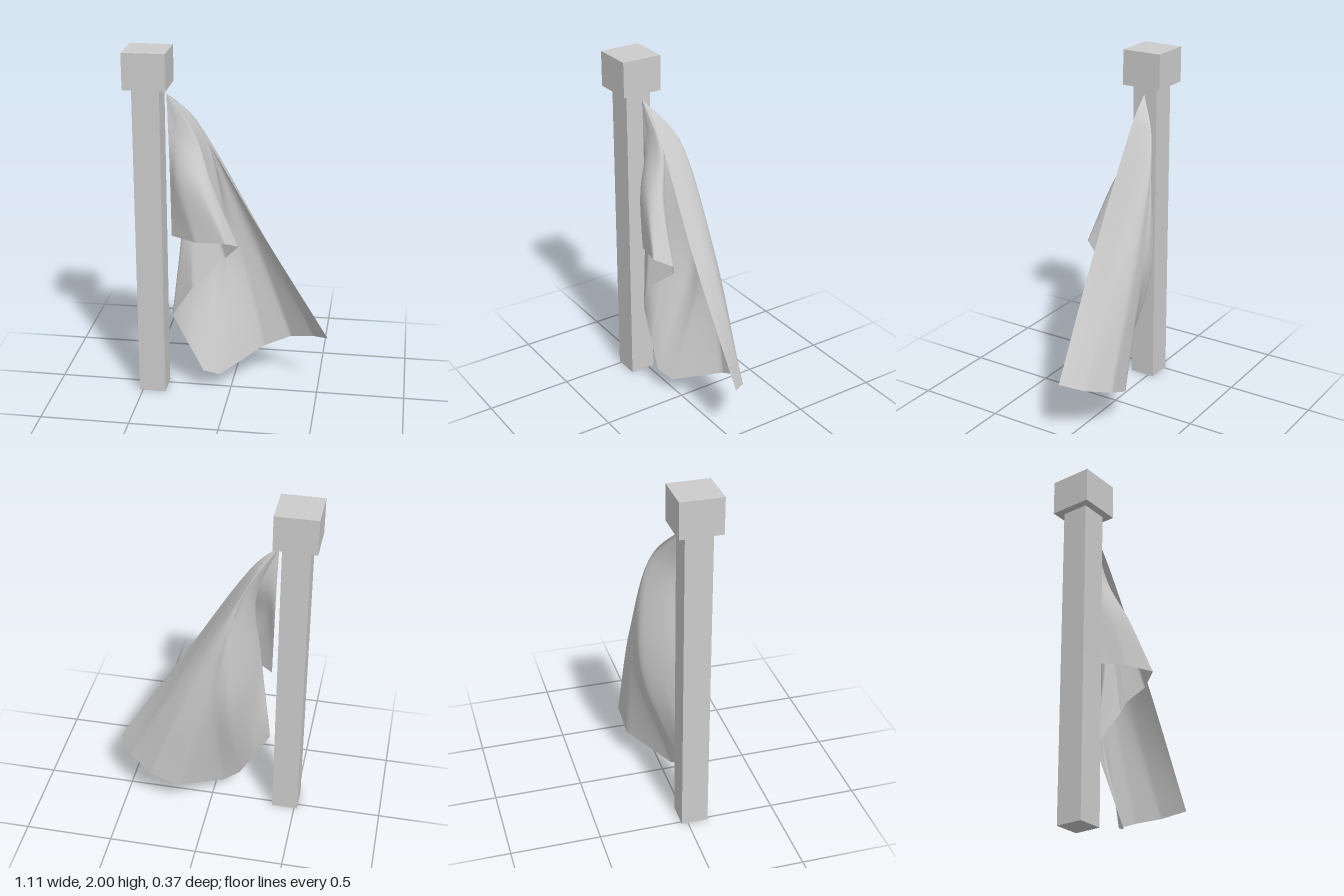
import * as THREE from 'three';

const grey = () => new THREE.MeshStandardMaterial({ color: 0xcccccc, side: THREE.DoubleSide });

function box(name, w, h, x, y, z) {
  const mesh = new THREE.Mesh(new THREE.BoxGeometry(w, h, w), grey());
  mesh.position.set(x, y, z);
  mesh.name = name;
  return mesh;
}

// All folds fan out from the upper corner by the pole.
const APEX = new THREE.Vector3(-0.345, 1.76, 0.03);

// Each row follows one fold line downwards: near the corner, halfway, free edge.
const FOLDS = [
  [[-0.338, 1.5, 0.03], [-0.333, 1.2, 0.03], [-0.33, 0.94, 0.03]],    // edge along the pole
  [[-0.3, 1.52, 0.03], [-0.265, 1.25, 0.1], [-0.18, 0.953, 0.143]],   // front panel
  [[-0.25, 1.51, 0.03], [-0.14, 1.25, 0.125], [0, 0.97, 0.185]],
  [[-0.2, 1.53, 0.01], [-0.09, 1.25, 0.065], [0.055, 0.92, 0.09]],    // right-hand fold
  [[-0.2, 1.51, -0.015], [-0.14, 1.2, 0.025], [-0.03, 0.82, 0.03]],   // middle layer
  [[-0.22, 1.48, 0], [-0.21, 1.1, 0.065], [-0.2, 0.67, 0.113]],
  [[-0.235, 1.45, 0.01], [-0.265, 1.0, 0.06], [-0.33, 0.46, 0.05]],   // left-hand fold
  [[-0.215, 1.48, -0.045], [-0.22, 0.9, -0.05], [-0.24, 0.295, 0.06]],
  [[-0.185, 1.5, -0.09], [-0.14, 0.82, -0.15], [-0.15, 0.13, 0.07]],  // back panel
  [[-0.18, 1.52, -0.108], [-0.07, 0.86, -0.172], [-0.06, 0.09, 0.03]],
  [[-0.19, 1.54, -0.113], [0, 0.93, -0.175], [0.17, 0.19, -0.175]],
  [[-0.2, 1.57, -0.1], [0.07, 0.97, -0.168], [0.33, 0.26, -0.185]],
  [[-0.215, 1.61, -0.055], [0.13, 0.99, -0.1], [0.47, 0.31, -0.1]],
  [[-0.23, 1.655, 0.022], [0.16, 1.01, 0.03], [0.555, 0.355, 0.01]],  // long upper edge
];

// Tension across the folds: soft inside, straight pieces at the free edge.
const TENSION = [0.5, 0.5, 0];

// Cloth: splines across the folds, then splines from the corner down.
function clothGeometry(across = 78, down = 24) {
  const rings = TENSION.map((tension, k) => new THREE.CatmullRomCurve3(
    FOLDS.map(f => new THREE.Vector3(...f[k])), false, 'catmullrom', tension));
  const positions = [], index = [];
  for (let i = 0; i <= across; i++) {
    const line = new THREE.CatmullRomCurve3([APEX, ...rings.map(r => r.getPoint(i / across))]);
    for (let j = 0; j <= down; j++) positions.push(...line.getPoint(j / down).toArray());
  }
  for (let i = 0; i < across; i++) {
    for (let j = 0; j < down; j++) {
      const a = i * (down + 1) + j, b = a + down + 1;
      index.push(a + 1, b + 1, b);
      if (j > 0) index.push(a, a + 1, b);
    }
  }
  const geometry = new THREE.BufferGeometry();
  geometry.setAttribute('position', new THREE.Float32BufferAttribute(positions, 3));
  geometry.setIndex(index);
  geometry.computeVertexNormals();
  return geometry;
}

export function createModel() {
  const group = new THREE.Group();
  group.name = 'flagOnPole';

  // Square pole and its block cap
  group.add(box('pole', 0.15, 1.8, -0.443, 0.9, 0.04));
  group.add(box('poleCap', 0.234, 0.2, -0.442, 1.9, 0.039));

  // Hanging cloth
  const cloth = new THREE.Mesh(clothGeometry(), grey());
  cloth.name = 'flagCloth';
  group.add(cloth);

  return group;
}
